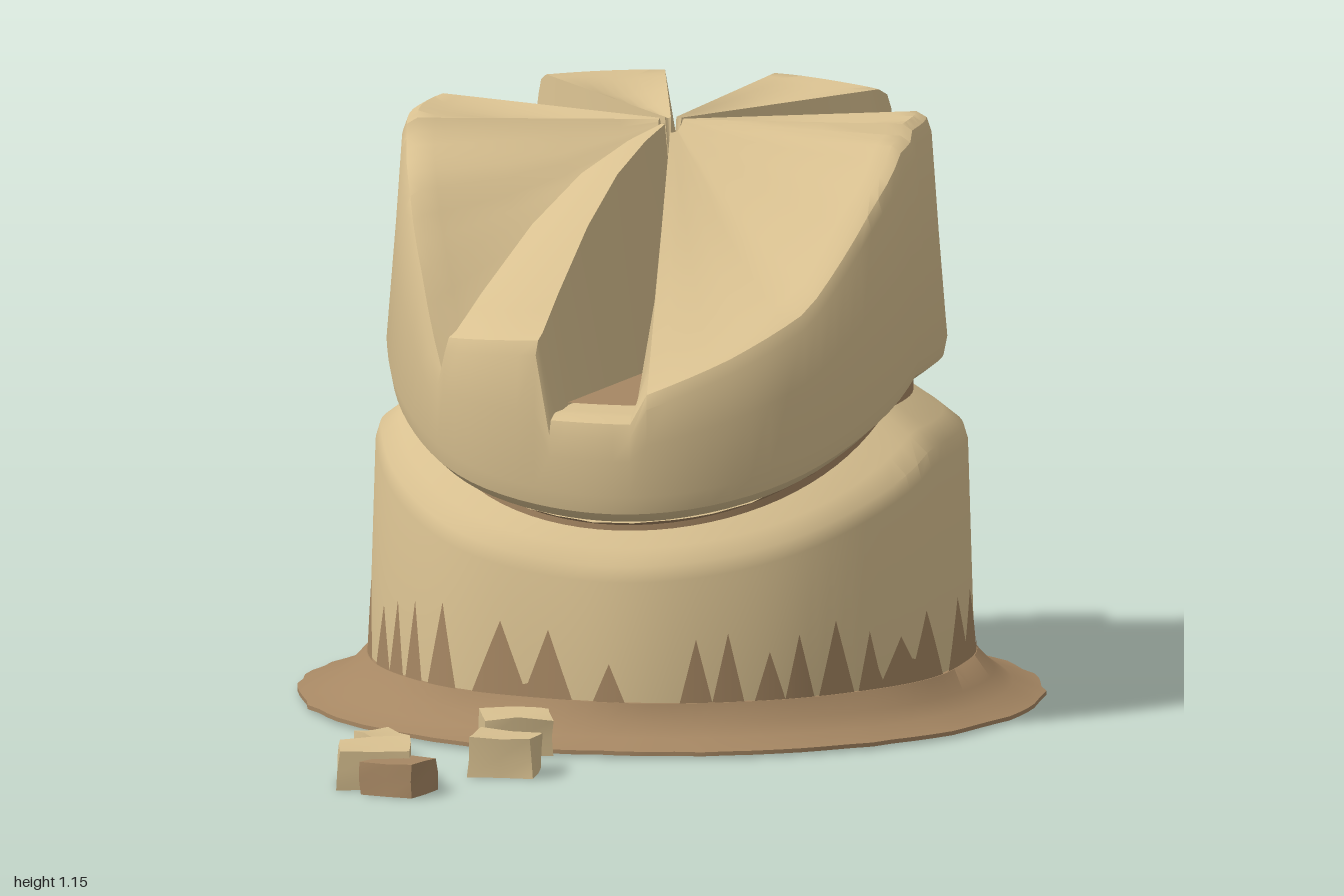
import * as THREE from 'three';
import { toCreasedNormals } from 'three/addons/utils/BufferGeometryUtils.js';

const CENTER_Z = -0.265;
const RAD = Math.PI / 180;
const lerp = THREE.MathUtils.lerp;

let seed = 11;
const rand = () => (seed = (seed * 16807) % 2147483647) / 2147483647;

// Skin a ring of cross-sections; section(i, deg) returns [radius, y] points from bottom to top
function skin(degs, section, closed = true, crease = 0.65) {
  const pos = [], idx = [];
  let m = 0;
  degs.forEach((d, i) => {
    const pts = section(i, d);
    m = pts.length;
    for (const [r, y] of pts) pos.push(r * Math.sin(d * RAD), y, r * Math.cos(d * RAD));
  });
  const n = degs.length;
  for (let i = 0; i < (closed ? n : n - 1); i++) {
    const k = (i + 1) % n;
    for (let j = 0; j < m - 1; j++) {
      const a = i * m + j, b = k * m + j;
      idx.push(a, b, b + 1, a, b + 1, a + 1);
    }
  }
  const g = new THREE.BufferGeometry();
  g.setAttribute('position', new THREE.Float32BufferAttribute(pos, 3));
  g.setIndex(idx);
  return toCreasedNormals(g, crease);
}

const front = d => Math.max(0, Math.cos(d * RAD)) ** 2;
const wave = d => 0.003 * Math.sin(7 * d * RAD) + 0.002 * Math.sin(11 * d * RAD + 1);
// Rise of the tilted groove: 0 at the front, 1 from the middle to the back
const rise = d => Math.min(1, (1 - Math.cos(d * RAD)) / 0.72);
const circle = step => Array.from({ length: 360 / step }, (_, i) => i * step);

// Lower drum radius at height y
const baseRadius = (d, y) => 0.592 + 0.02 * front(d) - 0.03 * y + wave(d);
// Upper drum radius at height y, bulging slightly to its right side
const capRadius = (d, y) => 0.545 + 0.063 * front(d) + wave(d) - 0.009 * Math.sin(d * RAD)
  - 0.032 * THREE.MathUtils.clamp((y - 0.68) / 0.46, 0, 1);
// Lowest edge of the upper drum
const capBottom = d => 0.465 + 0.215 * rise(d);

// Broken wedges of the crown: outer height given as [degrees, y] stops
const wedges = [
  { stops: [[-38, 0.79], [-14, 0.81]], bulge: 0.07 },
  { stops: [[-14, 0.655], [6, 0.655]], gap: 0.66 },
  { stops: [[6, 0.71], [22, 0.775], [40, 0.86], [60, 1.04], [74, 1.13], [83, 1.14]], sag: 0.03 },
  { stops: [[83, 1.16], [103, 1.16]], sag: 0.02 },
  { stops: [[103, 1.0], [133, 1.0]], bulge: -0.035 },
  { stops: [[133, 1.16], [168, 1.16]], sag: 0.02 },
  { stops: [[168, 1.0], [192, 1.0]], gap: 0.74 },
  { stops: [[192, 1.16], [222, 1.16]], sag: 0.02 },
  { stops: [[222, 1.0], [255, 1.0]], bulge: -0.035 },
  { stops: [[255, 1.16], [284, 1.15]], sag: 0.02 },
  { stops: [[284, 1.13], [298, 1.05], [310, 0.90], [322, 0.71]], sag: 0.03 },
];

function stopHeight(stops, d) {
  for (let k = 1; k < stops.length; k++) {
    const [a, ya] = stops[k - 1], [b, yb] = stops[k];
    if (d <= b) return lerp(ya, yb, (d - a) / (b - a));
  }
  return stops[stops.length - 1][1];
}

function crownGeometry() {
  const degs = [], cols = [];
  for (const w of wedges) {
    const a = w.stops[0][0], b = w.stops[w.stops.length - 1][0];
    const steps = Math.max(4, Math.round((b - a) / 4));
    const inset = w.gap ? 2.2 : 0.9;
    for (let i = 0; i <= steps; i++) {
      const d = lerp(a + inset, b - inset, i / steps);
      degs.push(d);
      cols.push({ w, rim: stopHeight(w.stops, d), fold: Math.sin(Math.PI * i / steps) });
    }
  }
  return skin(degs, (i, d) => {
    const { w, rim, fold } = cols[i];
    const bottom = capBottom(d);
    const mid = lerp(bottom, rim, 0.55), R = y => capRadius(d, y);
    const top = R(rim) - 0.028;
    const pts = [
      [0.46 + 0.05 * front(d), bottom - 0.03],
      [R(bottom) - 0.03, bottom - 0.018],
      [R(bottom) - 0.007, bottom],
      [R(bottom), bottom + 0.035],
      [R(mid), mid],
      [R(rim - 0.04), rim - 0.04],
      [R(rim) - 0.008, rim - 0.012],
      [top, rim],
    ];
    // Top surface from the rim in to the hub
    for (const s of [0.93, 0.88, 0.65, 0.42, 0.2, 0.05]) {
      const arch = Math.sin(Math.PI * s) * ((w.bulge || 0) - (w.sag || 0) * fold);
      const sunk = s > 0.9 ? rim : s < 0.1 ? 1.0 : w.gap;
      pts.push([top * s, w.gap ? sunk : lerp(rim, 1.145, 1 - s) + arch]);
    }
    pts.push([0, 1.0]);
    return pts;
  });
}

// Teeth of the foot stain: angle, half width in degrees, tip height
const teeth = [
  [-72, 5, 0.25], [-59, 4, 0.22], [-52, 3, 0.24], [-45, 3, 0.25], [-36, 4, 0.26], [-22, 6, 0.24],
  [-12, 5, 0.23], [0, 3, 0.17], [16, 3, 0.22], [22, 3, 0.23], [30, 3, 0.19], [36, 3, 0.22],
  [44, 4, 0.24], [52, 3, 0.21], [60, 6, 0.19], [68, 6, 0.23], [84, 7, 0.23], [94, 7, 0.23],
  [106, 7, 0.13], [132, 8, 0.17], [150, 7, 0.13], [172, 6, 0.15], [200, 7, 0.13], [222, 6, 0.14],
  [236, 7, 0.16], [258, 6, 0.17], [272, 6, 0.2],
];
function stainHeight(d) {
  let y = 0.095;
  for (const [c, half, tip] of teeth) {
    const off = Math.abs(((d - c + 540) % 360) - 180);
    y = Math.max(y, lerp(tip, 0.095, off / half));
  }
  return y;
}

// Irregular little block standing on the ground
function stoneGeometry(w, h) {
  const g = new THREE.BoxGeometry(w, h, w, 2, 2, 2);
  const p = g.attributes.position;
  const seen = {};
  for (let i = 0; i < p.count; i++) {
    const key = [p.getX(i), p.getY(i), p.getZ(i)].map(v => v.toFixed(3)).join();
    const j = seen[key] || (seen[key] = [0.9 + 0.12 * rand(), 0.9 + 0.12 * rand(), rand()]);
    const up = p.getY(i) / h + 0.5;
    p.setXYZ(i, p.getX(i) * j[0], 0.005 + up * (h - 0.005 - 0.01 * j[2]), p.getZ(i) * j[1]);
  }
  return toCreasedNormals(g, 0.5);
}

export function createModel() {
  const model = new THREE.Group();
  const sand = new THREE.MeshStandardMaterial({ color: 0xd8c090 });
  const earth = new THREE.MeshStandardMaterial({ color: 0xa68763 });
  sand.name = 'sandstone';
  earth.name = 'brownEarth';

  const tower = new THREE.Group();
  tower.name = 'tower';
  tower.position.z = CENTER_Z;
  model.add(tower);
  const add = (name, geo, mat, parent = tower) => {
    const mesh = new THREE.Mesh(geo, mat);
    mesh.name = name;
    parent.add(mesh);
    return mesh;
  };

  // Flared ground apron with a ragged edge and flat underside
  add('apron', skin(circle(4), (i, d) => {
    const edge = 0.722 + 0.012 * rand();
    return [[0, 0.008], [edge, 0.01], [edge, 0.018], [0.665, 0.035], [0.63, 0.06],
      [baseRadius(d, 0.1) + 0.006, 0.095], [0.55, 0.1]];
  }), earth);

  // Lower drum with a rounded, tilted shoulder
  add('lowerDrum', skin(circle(4), (i, d) => {
    const e = 0.36 + 0.18 * rise(d);
    return [
      [baseRadius(d, 0.04), 0.04],
      [baseRadius(d, e - 0.03), e - 0.03],
      [baseRadius(d, e) - 0.008, e],
      [0.53 + 0.035 * front(d), e + 0.032],
      [0.46 + 0.05 * front(d), e + 0.08],
    ];
  }), sand);

  // Jagged stain climbing the foot of the drum, tallest at the front
  add('footStain', skin(circle(1), (i, d) => {
    const y = stainHeight(d);
    return [[baseRadius(d, 0.05) + 0.004, 0.05], [baseRadius(d, y) + 0.004, y]];
  }), earth);

  // Recessed neck, spreading in ragged patches under the overhang
  add('neck', skin(circle(4), (i, d) => {
    const r = 0.472 + 0.06 * front(d), b = capBottom(d);
    return [[r, b - 0.1], [r, b - 0.033], [capRadius(d, b) - 0.032 - 0.02 * rand(), b - 0.023]];
  }), earth);

  // Upper drum with its broken crown
  add('crown', crownGeometry(), sand);

  // Earth floors inside the two deep gaps
  for (const [name, a, b, y, r] of [
    ['frontGapFloor', -12, 4, 0.665, 0.51],
    ['backGapFloor', 170, 190, 0.745, 0.455],
  ]) {
    const degs = [0, 1, 2, 3, 4].map(k => lerp(a, b, k / 4));
    add(name, skin(degs, () => [[r, y], [0.1, y]], false), earth);
  }

  // Fallen stones: x, z, width, height, turn, material
  const stones = [
    [-0.17, 0.42, 0.14, 0.085, 0.25, sand],
    [-0.41, 0.55, 0.085, 0.06, 0.75, sand],
    [-0.14, 0.67, 0.13, 0.085, 0.03, sand],
    [-0.365, 0.85, 0.145, 0.09, 0.2, sand],
    [-0.30, 0.93, 0.118, 0.075, -0.25, earth],
  ];
  const rubble = new THREE.Group();
  rubble.name = 'rubble';
  model.add(rubble);
  stones.forEach(([x, z, w, h, turn, mat], i) => {
    const stone = add('fallenStone' + (i + 1), stoneGeometry(w, h), mat, rubble);
    stone.position.set(x, 0, z);
    stone.rotation.y = turn;
  });
  return model;
}
